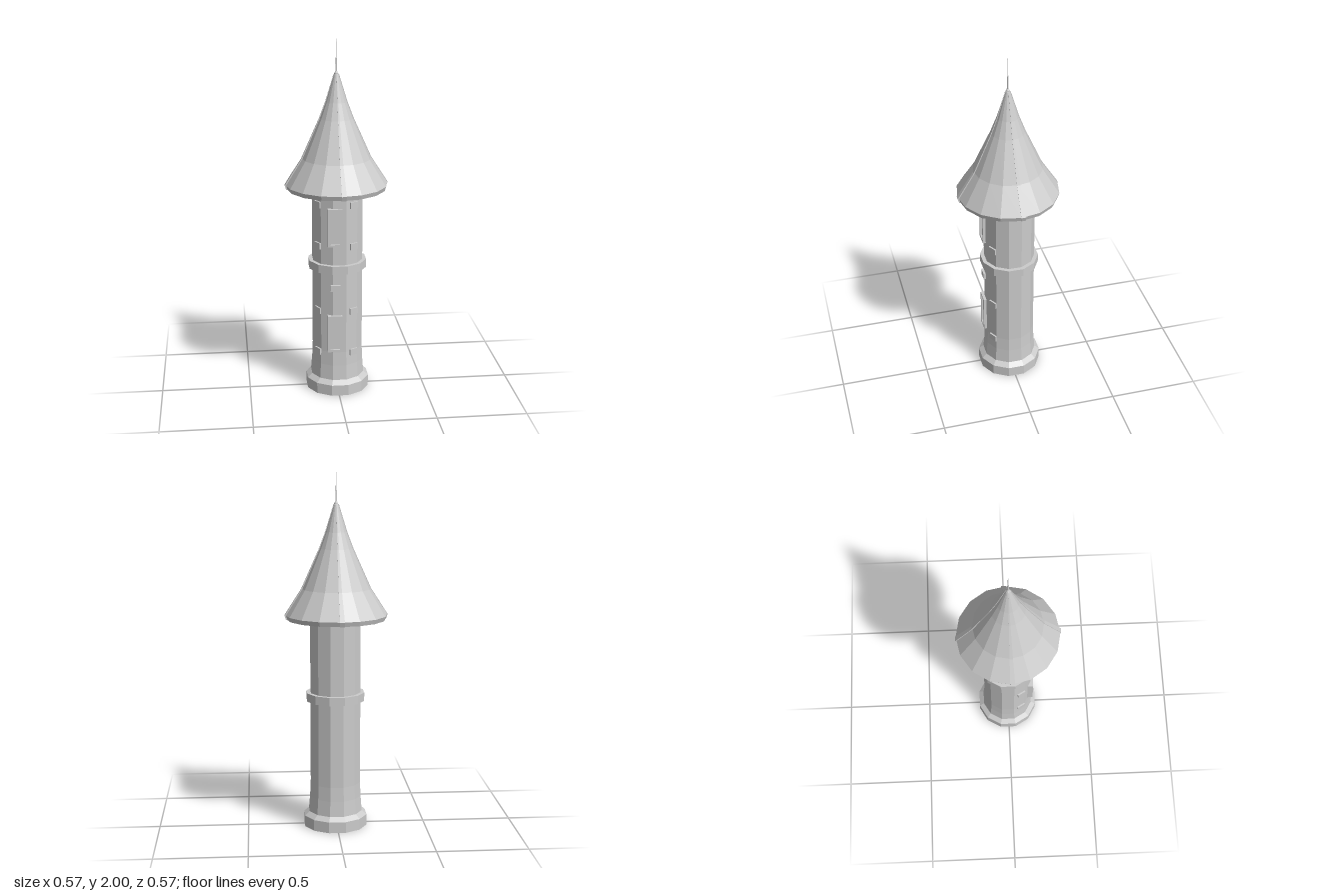
import * as THREE from 'three';

const material = new THREE.MeshStandardMaterial({ color: 0xcccccc, flatShading: true });
const CX = 0.0055, CZ = -0.0055; // axis of the shaft, slightly off the roof axis
const WALL_R = 0.1424;
const APOTHEM = WALL_R * Math.cos(Math.PI / 12);

function add(parent, name, geometry, x = 0, y = 0, z = 0) {
  const mesh = new THREE.Mesh(geometry, material);
  mesh.name = name;
  mesh.position.set(x, y, z);
  parent.add(mesh);
  return mesh;
}

// Revolved profile of [radius, height] pairs
function lathe(points, sides, start = 0) {
  return new THREE.LatheGeometry(points.map(([r, y]) => new THREE.Vector2(r, y)), sides, start);
}

// Twelve-sided part of the shaft with a flat facing the front
const shaftPart = (points) => lathe(points, 12, Math.PI / 12);

function rectPath(PathType, w, h) {
  const p = new PathType();
  p.moveTo(-w / 2, -h / 2);
  p.lineTo(w / 2, -h / 2);
  p.lineTo(w / 2, h / 2);
  p.lineTo(-w / 2, h / 2);
  p.closePath();
  return p;
}

// Framed window with a recessed pane
function makeWindow(y) {
  const group = new THREE.Group();
  group.name = 'window';
  const w = 0.08, h = 0.215, rim = 0.013;
  const shape = rectPath(THREE.Shape, w, h);
  shape.holes.push(rectPath(THREE.Path, w - 2 * rim, h - 2 * rim));
  add(group, 'windowFrame', new THREE.ExtrudeGeometry(shape, { depth: 0.05, bevelEnabled: false }), 0, 0, 0.098);
  add(group, 'windowPane', new THREE.BoxGeometry(w - 2 * rim, h - 2 * rim, 0.04), 0, 0, 0.117);
  group.position.set(-0.021, y, 0);
  return group;
}

// Brick lying on a facet: facet angle from the front, shift along the facet
function addBrick(parent, angle, shift, y) {
  const brick = add(parent, 'brick', new THREE.BoxGeometry(0.05, 0.036, 0.03));
  const r = APOTHEM - 0.006;
  brick.position.set(
    CX + Math.sin(angle) * r + Math.cos(angle) * shift, y,
    CZ + Math.cos(angle) * r - Math.sin(angle) * shift);
  brick.rotation.y = angle;
}

export function createModel() {
  const model = new THREE.Group();
  model.name = 'tower';

  // Hollow shaft with a flared foot
  add(model, 'wall', shaftPart([
    [0.125, 0.05], [0.156, 0.05], [0.153, 0.085], [0.146, 0.17], [WALL_R, 0.25],
    [WALL_R, 1.22], [0.125, 1.22], [0.125, 0.05]]), CX, 0, CZ);
  add(model, 'baseRing', shaftPart([
    [0.14, 0], [0.18, 0], [0.18, 0.062], [0.153, 0.085], [0.14, 0.085], [0.14, 0]]), CX, 0, CZ);
  add(model, 'middleRing', shaftPart([
    [0.13, 0.723], [0.1645, 0.723], [0.1645, 0.77], [0.13, 0.77], [0.13, 0.723]]), CX, 0, CZ);

  // Front openings and the single stone between them
  model.add(makeWindow(0.988), makeWindow(0.367));
  add(model, 'frontStone', new THREE.BoxGeometry(0.056, 0.036, 0.045), -0.019, 0.637, 0.122);

  // Scattered bricks on both sides of the front
  for (const y of [1.108, 0.872, 0.49, 0.243]) {
    addBrick(model, -Math.PI / 3, 0.012, y);
    addBrick(model, Math.PI / 6, 0.012, y);
  }

  // Sixteen-sided concave roof, hollow underneath
  const outer = [[0.275, 1.18], [0.283, 1.205], [0.19, 1.35], [0.092, 1.57], [0.058, 1.66], [0.012, 1.81]];
  add(model, 'roof', lathe([
    [0.258, 1.18], ...outer, [0, 1.818]], 16));
  add(model, 'roofLining', lathe([
    [0, 1.76], [0.05, 1.64], [0.082, 1.56], [0.175, 1.345], [0.258, 1.205], [0.258, 1.18]], 16));

  // Four tapering ribs running up the roof
  const ribProfile = new THREE.Shape([
    ...outer.map(([r, y]) => new THREE.Vector2(r + 0.003, y)),
    ...outer.slice().reverse().map(([r, y]) => new THREE.Vector2(Math.max(r - 0.025, 0.002), y))]);
  const ribGeometry = new THREE.ExtrudeGeometry(ribProfile, { depth: 1, bevelEnabled: false });
  ribGeometry.translate(0, 0, -1);
  const p = ribGeometry.attributes.position;
  for (let i = 0; i < p.count; i++) p.setZ(i, p.getZ(i) * p.getX(i) * 0.092);
  ribGeometry.computeVertexNormals();
  for (let k = 0; k < 4; k++) {
    add(model, 'roofRib', ribGeometry).rotation.y = k * Math.PI / 2;
  }

  // Needle finial
  add(model, 'finial', lathe([
    [0.012, 1.8], [0.011, 1.815], [0.005, 1.825], [0.004, 1.87], [0.0025, 1.9], [0, 2]], 8));

  return model;
}
